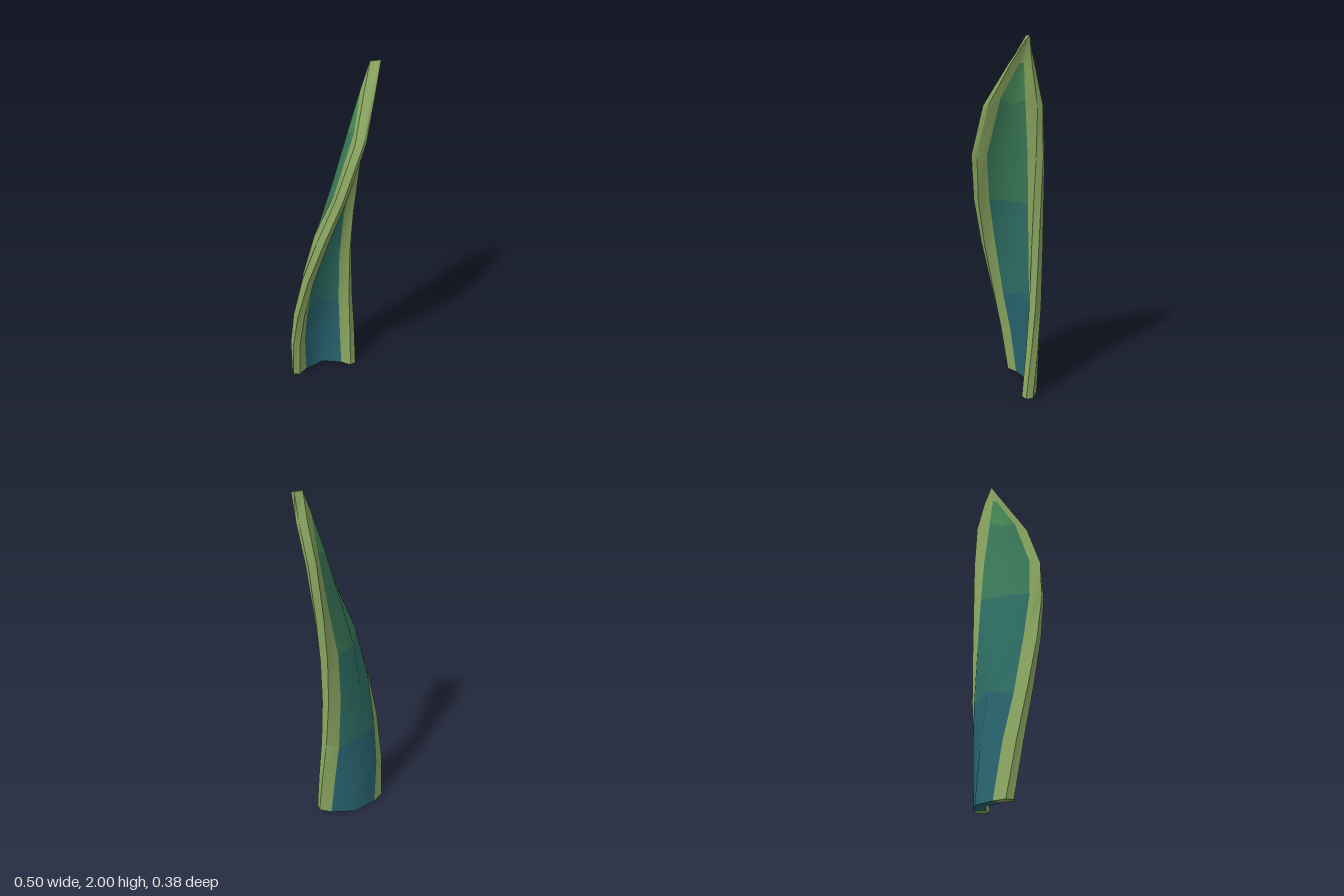
import * as THREE from 'three';
import { toCreasedNormals } from 'three/addons/utils/BufferGeometryUtils.js';

// Leaf sections going up: height, left edge (x, z), right edge (x, z), depth of the
// curl at the midrib and at the shoulders, dark share of the width, middle
// thickness, height offset of the shoulders
const SECTIONS = [
  [0.00, -0.24, -0.11, 0.163, -0.112, 0.08, 0.04, 0.69, 0.056, 0],
  [0.28, -0.25, -0.06, 0.15, -0.14, 0.08, 0.04, 0.7, 0.056, 0],
  [0.555, -0.237, 0.005, 0.13, -0.162, 0.08, 0.04, 0.71, 0.056, -0.035],
  [0.85, -0.195, 0.078, 0.117, -0.17, 0.08, 0.04, 0.71, 0.056, 0],
  [1.12, -0.127, 0.138, 0.12, -0.17, 0.075, 0.038, 0.71, 0.056, 0.01],
  [1.39, -0.035, 0.173, 0.137, -0.166, 0.055, 0.018, 0.69, 0.052, 0],
  [1.66, 0.07, 0.137, 0.16, -0.147, 0.042, 0.006, 0.5, 0.05, 0.035],
  [1.87, 0.143, 0.021, 0.185, -0.095, 0.02, 0.019, 0.2, 0.055, 0],
  [2.00, 0.19, -0.048, 0.19, -0.052, 0, 0, 0.2, 0.055, 0],
];
// Height of the rolled margin above the back: outer corner and inner corner
const RIM_OUTER = 0.04;
const RIM_INNER = 0.055;
// Material of the dark middle between one section and the next (0 = margin)
const BANDS = [1, 1, 2, 2, 3, 3, 4, 0];
// Strips of the outline that are dark, and the back point behind each front point
const DARK_STRIPS = [2, 3, 8, 9];
const BEHIND = [11, 11, 10, 9, 8, 7, 7];

function colour(name, hex) {
  const material = new THREE.MeshStandardMaterial({ color: hex });
  material.name = name;
  return material;
}

// Closed outline of one section: front from left to right, then back again
function ring([y, lx, lz, rx, rz, depth, shoulder, dark, thick, lift]) {
  const cx = (lx + rx) / 2, cz = (lz + rz) / 2;
  const half = Math.hypot(rx - lx, rz - lz) / 2;
  const ex = (rx - lx) / (2 * half), ez = (rz - lz) / (2 * half);
  const inner = half * 0.82;
  const frontLeft = [
    [-half, RIM_OUTER, 0],
    [-inner, RIM_INNER, 0],
    [-inner * dark, thick - shoulder, lift],
  ];
  const backRight = [[half, 0, 0], [half * dark, -shoulder, lift]];
  const mirrored = (points) => points.map(([u, v, h]) => [-u, v, h]).reverse();
  const outline = [
    ...frontLeft, [0, thick - depth, 0], ...mirrored(frontLeft),
    ...backRight, [0, -depth, 0], ...mirrored(backRight),
  ];
  return outline.map(([u, v, h]) =>
    [cx + u * ex - v * ez, y + h, cz + u * ez + v * ex]);
}

export function createModel() {
  const materials = [
    colour('marginGreen', 0x8ca962),
    colour('deepBlue', 0x296571),
    colour('teal', 0x2f7066),
    colour('midGreen', 0x3c7d5b),
    colour('tipGreen', 0x488d58),
  ];
  const rings = SECTIONS.map(ring);
  const faces = materials.map(() => []);
  const quad = (m, a, b, c, d) => faces[m].push(...a, ...b, ...c, ...a, ...c, ...d);
  const material = (strip, band) => (DARK_STRIPS.includes(strip) ? band : 0);

  // Skin of the twisted blade
  BANDS.forEach((band, j) => {
    const low = rings[j], high = rings[j + 1];
    for (let i = 0; i < 12; i++) {
      const k = (i + 1) % 12;
      quad(material(i, band), low[i], low[k], high[k], high[i]);
    }
  });

  // Cut at the base, and the narrow end at the tip
  const base = rings[0], tip = rings[rings.length - 1];
  for (let i = 0; i < 6; i++) {
    const a = BEHIND[i], b = BEHIND[i + 1];
    quad(material(i, 1), base[a], base[b], base[i + 1], base[i]);
    quad(0, tip[i], tip[i + 1], tip[b], tip[a]);
  }

  const geometry = new THREE.BufferGeometry();
  geometry.setAttribute('position', new THREE.Float32BufferAttribute(faces.flat(), 3));
  let start = 0;
  faces.forEach((list, m) => {
    geometry.addGroup(start, list.length / 3, m);
    start += list.length / 3;
  });

  const blade = new THREE.Mesh(toCreasedNormals(geometry, 0.95), materials);
  blade.name = 'leafBlade';
  const group = new THREE.Group();
  group.name = 'leaf';
  group.add(blade);
  return group;
}
